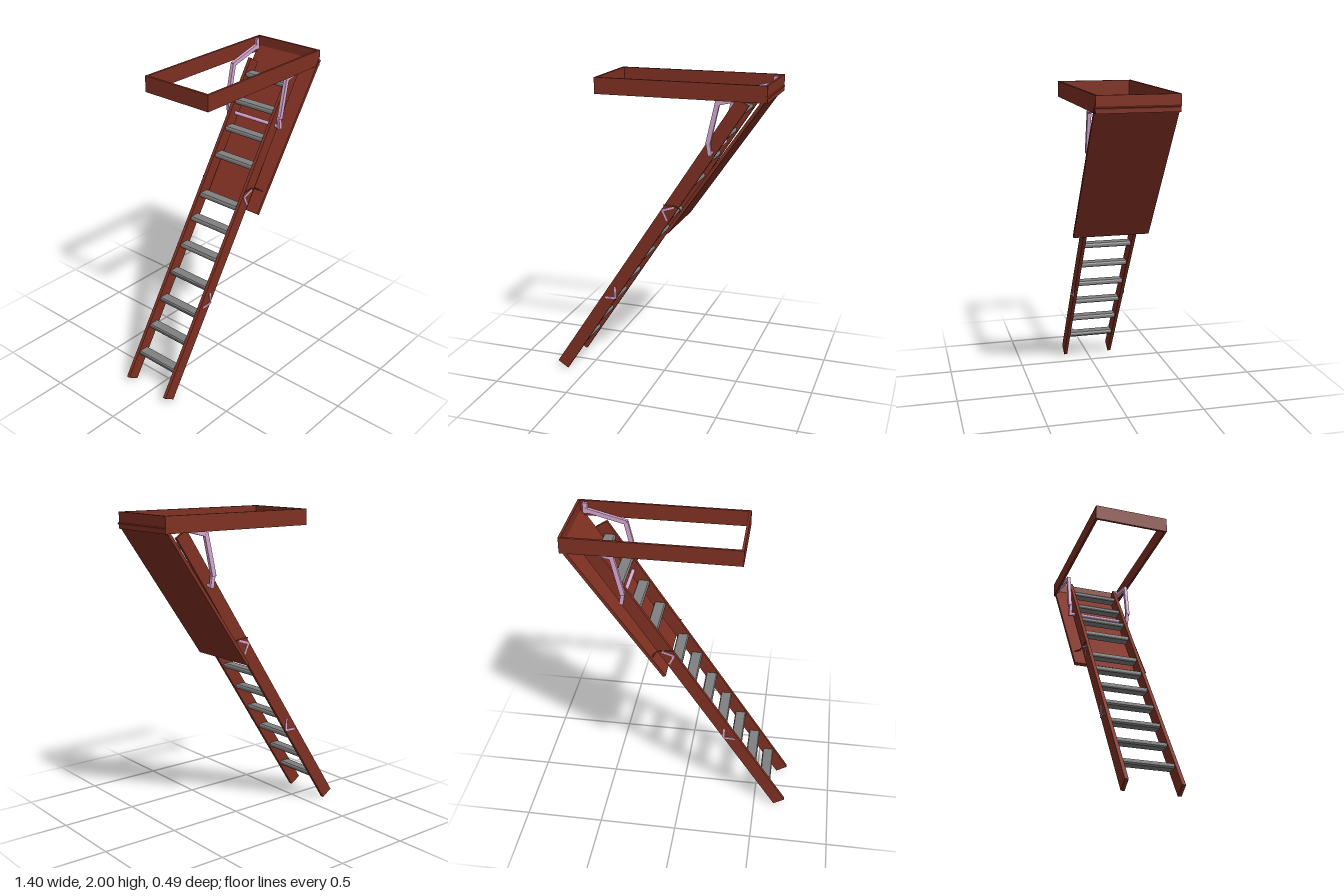
import * as THREE from 'three';

const mat = (color) => new THREE.MeshStandardMaterial({ color, flatShading: true });
const wood = mat(0x7f3022);
const metal = mat(0xd8a8d0);
const treadGrey = mat(0x808080);

export function createModel() {
  const model = new THREE.Group();

  const add = (name, geometry, material, x, y, z) => {
    const mesh = new THREE.Mesh(geometry, material);
    mesh.name = name;
    mesh.position.set(x, y, z);
    model.add(mesh);
    return mesh;
  };
  const box = (name, material, w, h, d, x, y, z) =>
    add(name, new THREE.BoxGeometry(w, h, d), material, x, y, z);
  // Straight bar between two points of the side profile, at depth z
  const bar = (name, material, a, b, height, depth, z) => {
    const dx = b[0] - a[0], dy = b[1] - a[1];
    const mesh = box(name, material, Math.hypot(dx, dy), height, depth,
      (a[0] + b[0]) / 2, (a[1] + b[1]) / 2, z);
    mesh.rotation.z = Math.atan2(dy, dx);
    return mesh;
  };

  // Hatch frame: a rectangle with an open centre
  const rect = (path, x0, y0, x1, y1) =>
    path.moveTo(x0, y0).lineTo(x1, y0).lineTo(x1, y1).lineTo(x0, y1).closePath();
  const outline = new THREE.Shape();
  rect(outline, -0.365, -0.241, 0.693, 0.247);
  const opening = new THREE.Path();
  rect(opening, -0.35, -0.227, 0.678, 0.233);
  outline.holes.push(opening);
  const frame = new THREE.ExtrudeGeometry(outline, { depth: 0.1, bevelEnabled: false });
  frame.rotateX(-Math.PI / 2);
  add('hatchFrame', frame, wood, 0, 1.9, 0);

  // Hanging hatch door
  bar('hatchDoor', wood, [0.096, 1.073], [0.691, 1.938], 0.02, 0.488, 0.003);

  // Ladder rails, each in three folding sections
  const foot = [-0.67, 0.0275], head = [0.535, 1.8875];
  const along = (t) => foot.map((v, i) => v + (head[i] - v) * t);
  const joints = [0, 0.311, 0.618, 1];
  const zMid = -0.004, railZ = 0.163;
  for (const s of [-1, 1]) {
    const z = zMid + s * railZ;
    for (let i = 0; i < 3; i++) {
      bar('rail', wood, along(joints[i]), along(joints[i + 1]), 0.083, 0.022, z);
    }
  }

  // Treads with bevelled long edges
  const profile = new THREE.Shape([
    [-0.036, -0.006], [-0.03, -0.015], [0.03, -0.015],
    [0.036, -0.006], [0.036, 0.006], [0.03, 0.015], [-0.03, 0.015], [-0.036, 0.006],
  ].map(([x, y]) => new THREE.Vector2(x, y)));
  const tread = new THREE.ExtrudeGeometry(profile, { depth: 0.306, bevelEnabled: false });
  tread.translate(0, 0, -0.153);
  const treadHeights = [0.19, 0.348, 0.505, 0.662, 0.82, 0.977, 1.115, 1.345, 1.5, 1.655, 1.81];
  for (const y of treadHeights) {
    const [x] = along((y - foot[1]) / (head[1] - foot[1]));
    add('tread', tread, treadGrey, x, y, zMid);
  }

  for (const s of [-1, 1]) {
    // V-shaped fold hinges on the outside of the rails
    const hz = zMid + s * (railZ + 0.013);
    for (const [tip, a, b] of [
      [[0.045, 1.19], [0.12, 1.215], [0.075, 1.125]],
      [[-0.277, 0.563], [-0.35, 0.56], [-0.28, 0.64]],
    ]) {
      bar('foldHinge', metal, tip, a, 0.012, 0.006, hz);
      bar('foldHinge', metal, tip, b, 0.012, 0.006, hz);
    }

    // Swing arms linking the frame to the ladder
    const az = zMid + s * 0.213;
    const upper = bar('upperArm', metal, [0.385, 1.88], [0.65, 1.945], 0.028, 0.02, az + s * 0.004);
    upper.rotation.y = -s * 0.03;
    bar('middleArm', metal, [0.34, 1.635], [0.395, 1.885], 0.028, 0.022, az);
    bar('lowerArm', metal, [0.338, 1.65], [0.352, 1.565], 0.024, 0.02, az - s * 0.006);
    box('armBracket', metal, 0.03, 0.07, 0.018, 0.645, 1.955, zMid + s * 0.222);

    // Curved catch between rail and door
    const hook = new THREE.CatmullRomCurve3([
      [0.05, 1.225, 0.176], [0.13, 1.22, 0.178], [0.16, 1.21, 0.188], [0.173, 1.2, 0.222],
    ].map(([x, y, z]) => new THREE.Vector3(x, y, zMid + s * z)));
    add('doorCatch', new THREE.TubeGeometry(hook, 16, 0.004, 6), wood, 0, 0, 0);
  }

  // Cross tube joining the two swing arms
  const tube = new THREE.CylinderGeometry(0.012, 0.012, 0.42, 12);
  tube.rotateX(Math.PI / 2);
  add('crossTube', tube, metal, 0.35, 1.578, zMid);

  return model;
}
